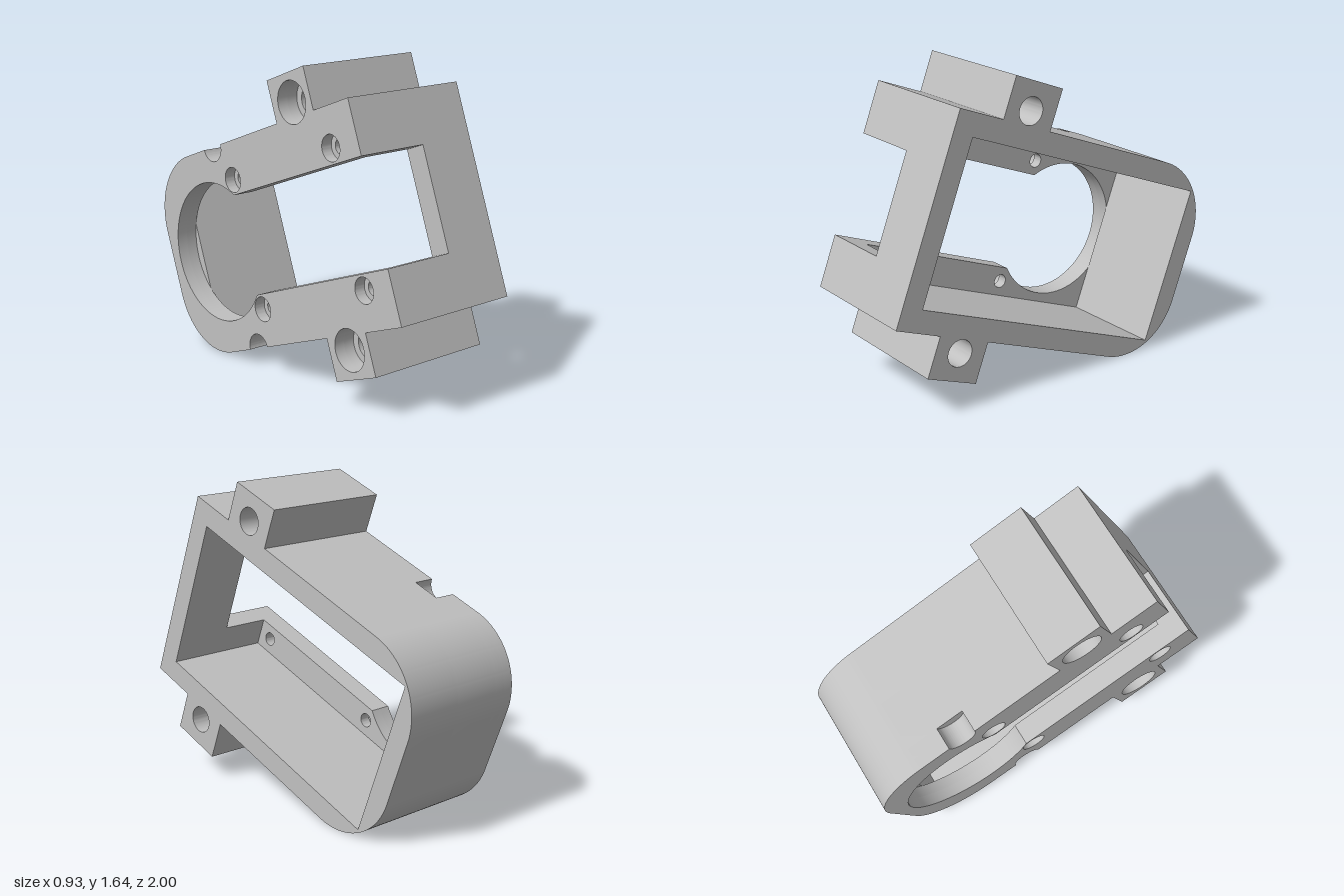
import * as THREE from 'three';
import { toCreasedNormals } from 'three/addons/utils/BufferGeometryUtils.js';

// Profile plane: x runs from the front wall to the rounded back, y runs up.
const H = 1.08, L = 1.77, R = 0.36;          // body height, length, back corner radius
const WALL = 0.117, CAV_END = 1.655;         // cavity limits
const SLOT_LO = 0.275, SLOT_HI = 0.805;      // slot through floor and front wall
const LUG_A = 0.265, LUG_B = 0.567, LUG_H = 0.217;
const GROOVE_X = 1.156, GROOVE_R = 0.077;
const MID = H / 2;

// Outer contour; the opening callback draws the inner edge of a front-open layer
function outline(grooves, opening) {
  const s = new THREE.Shape();
  s.moveTo(0, 0);
  s.lineTo(LUG_A, 0);
  s.lineTo(LUG_A, -LUG_H);
  s.lineTo(LUG_B, -LUG_H);
  s.lineTo(LUG_B, 0);
  if (grooves) s.absarc(GROOVE_X, 0, GROOVE_R, Math.PI, 0, true);
  s.absarc(L - R, R, R, -Math.PI / 2, 0, false);
  s.absarc(L - R, H - R, R, 0, Math.PI / 2, false);
  if (grooves) s.absarc(GROOVE_X, H, GROOVE_R, 0, -Math.PI, true);
  s.lineTo(LUG_B, H);
  s.lineTo(LUG_B, H + LUG_H);
  s.lineTo(LUG_A, H + LUG_H);
  s.lineTo(LUG_A, H);
  s.lineTo(0, H);
  if (opening) {
    s.lineTo(0, SLOT_HI);
    opening(s);
    s.lineTo(0, SLOT_LO);
  }
  s.closePath();
  return s;
}

// Slot ending in a large round opening
function roundSlot(s) {
  s.absarc(1.327, MID, 0.375, Math.PI * 0.75, -Math.PI * 0.75, true);
}

// Rectangular cavity reached through the front notch
function notchedCavity(s) {
  s.lineTo(WALL, SLOT_HI);
  s.lineTo(WALL, H - WALL);
  s.lineTo(CAV_END, H - WALL);
  s.lineTo(CAV_END, WALL);
  s.lineTo(WALL, WALL);
  s.lineTo(WALL, SLOT_LO);
}

function addHole(shape, x, y, r) {
  const p = new THREE.Path();
  p.absarc(x, y, r, 0, Math.PI * 2, true);
  shape.holes.push(p);
}

function addLugHoles(shape, r) {
  for (const y of [-0.072, H + 0.072]) addHole(shape, 0.414, y, r);
}

function addScrewHoles(shape, r) {
  for (const x of [0.203, 1.04])
    for (const y of [0.197, H - 0.197]) addHole(shape, x, y, r);
}

export function createModel() {
  const model = new THREE.Group();
  model.name = 'motorHousing';
  const grey = new THREE.MeshStandardMaterial({ color: 0xc0c0c0 });
  grey.name = 'light grey';

  const body = new THREE.Group();
  body.name = 'housingBody';
  body.rotation.set(0, Math.PI / 2 - 0.118, -0.362);
  body.position.set(-0.114, 0.527, 0.958);
  model.add(body);

  function layer(name, shape, from, to) {
    const geo = new THREE.ExtrudeGeometry(shape, {
      depth: to - from, bevelEnabled: false, curveSegments: 28
    });
    geo.translate(0, 0, from);
    const mesh = new THREE.Mesh(toCreasedNormals(geo, 0.5), grey);
    mesh.name = name;
    body.add(mesh);
  }

  // Floor, outer half with screw counterbores
  const outerFloor = outline(true, roundSlot);
  addLugHoles(outerFloor, 0.108);
  addScrewHoles(outerFloor, 0.066);
  layer('counterboredFloor', outerFloor, -0.3525, -0.2925);

  // Floor, inner half with narrow screw holes
  const innerFloor = outline(true, roundSlot);
  addLugHoles(innerFloor, 0.108);
  addScrewHoles(innerFloor, 0.037);
  layer('innerFloor', innerFloor, -0.2925, -0.2325);

  // Walls around the cavity, with the notch in the front wall
  const notched = outline(false, notchedCavity);
  addLugHoles(notched, 0.071);
  layer('notchedWalls', notched, -0.2325, 0.038);

  // Closed rim around the cavity
  const rim = outline(false, null);
  const cavity = new THREE.Path();
  cavity.moveTo(WALL, WALL);
  cavity.lineTo(WALL, H - WALL);
  cavity.lineTo(CAV_END, H - WALL);
  cavity.lineTo(CAV_END, WALL);
  cavity.closePath();
  rim.holes.push(cavity);
  addLugHoles(rim, 0.071);
  layer('closedRim', rim, 0.038, 0.3525);

  return model;
}
